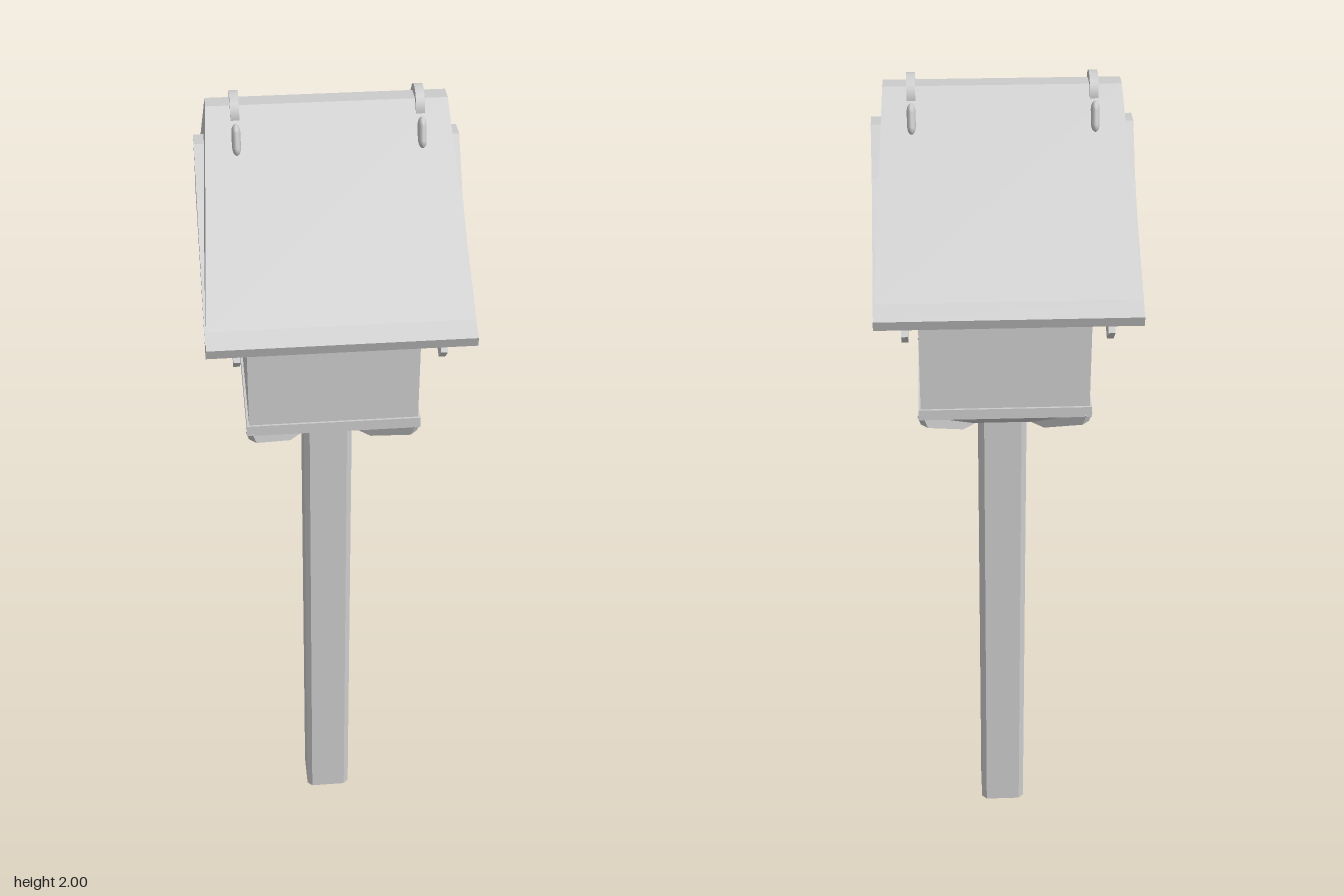
import * as THREE from 'three';

const material = new THREE.MeshStandardMaterial({ color: 0xcccccc, flatShading: true });
const smooth = new THREE.MeshStandardMaterial({ color: 0xcccccc });

export function createModel() {
  const root = new THREE.Group();

  const add = (name, geometry, mat = material) => {
    const mesh = new THREE.Mesh(geometry, mat);
    mesh.name = name;
    root.add(mesh);
    return mesh;
  };
  // Outline in a vertical plane, extruded about its middle
  const plate = (points, thickness) => {
    const shape = new THREE.Shape(points.map(([a, b]) => new THREE.Vector2(a, b)));
    return new THREE.ExtrudeGeometry(shape, { depth: thickness, bevelEnabled: false })
      .translate(0, 0, -thickness / 2);
  };
  // Complete a right half outline (top to bottom) with its mirror image
  const mirrored = (half) => [
    ...half, ...half.filter(([a]) => a > 0).reverse().map(([a, b]) => [-a, b]),
  ];

  // Post with chamfered corners
  const p = 0.055, c = 0.043;
  add('post', plate([[p, -c], [p, c], [c, p], [-c, p], [-p, c], [-p, -c], [-c, -p], [c, -p]], 1.22)
    .rotateX(-Math.PI / 2).translate(0, 0.61, 0));

  // House box and the lip around its foot
  add('houseBox', new THREE.BoxGeometry(0.37, 0.33, 0.37)).position.y = 1.45;
  add('baseLip', new THREE.BoxGeometry(0.38, 0.025, 0.38)).position.y = 1.297;

  // Tapered underside
  add('taperedBase', new THREE.CylinderGeometry(0.18 * Math.SQRT2, 0.085 * Math.SQRT2, 0.075, 4)
    .rotateY(Math.PI / 4)).position.y = 1.2475;

  // Brackets from the post to the four corners of the box
  const bracket = [[0.07, 1.205], [0.14, 1.207], [0.252, 1.262], [0.262, 1.288], [0.07, 1.288]];
  for (let i = 0; i < 4; i++) {
    add('cornerBracket', plate(bracket, 0.022)).rotation.y = Math.PI / 4 + i * Math.PI / 2;
  }

  // Roof, with ends that lean inwards towards the ridge
  const roof = plate(mirrored([
    [0.02, 1.98], [0.335, 1.647], [0.37, 1.625], [0.362, 1.602],
    [0.337, 1.607], [0.325, 1.582], [0.28, 1.605],
  ]), 1).rotateY(Math.PI / 2);
  const pos = roof.attributes.position;
  for (let i = 0; i < pos.count; i++) {
    const half = Math.min(0.272, 0.272 - (pos.getY(i) - 1.61) * 0.073);
    pos.setX(i, Math.sign(pos.getX(i)) * half);
  }
  roof.computeVertexNormals();
  add('roof', roof);

  for (const side of [-1, 1]) {
    // Curved chevron board on each gable
    const outer = [[0.022, 1.9], [0.09, 1.81], [0.14, 1.765], [0.2, 1.72], [0.29, 1.665], [0.35, 1.625]];
    const inner = [[0.26, 1.65], [0.15, 1.7], [0.09, 1.742], [0.045, 1.79], [0, 1.84]];
    const half = [...outer, ...inner];
    add('gableChevron', plate(mirrored(half), 0.03).rotateY(Math.PI / 2)).position.x = side * 0.257;

    // Strap looped over the ridge
    add('ridgeStrap', new THREE.CylinderGeometry(0.042, 0.042, 0.018, 24)
      .rotateZ(Math.PI / 2), smooth).position.set(side * 0.187, 1.958, 0);

    for (const face of [-1, 1]) {
      // Strap end lying on the slope
      const end = add('strapEnd', new THREE.CapsuleGeometry(0.017, 0.03, 6, 12)
        .scale(0.53, 1, 1), smooth);
      end.position.set(side * 0.187, 1.93, face * 0.074);
      end.rotation.x = -face * 0.35;

      // Rafter tail below the eaves
      const tail = [[0.21, 1.592], [0.305, 1.543], [0.332, 1.57], [0.3, 1.62], [0.21, 1.62]];
      add('rafterTail', plate(tail, 0.014).rotateY(-face * Math.PI / 2)).position.x = side * 0.21;
    }
  }

  return root;
}
